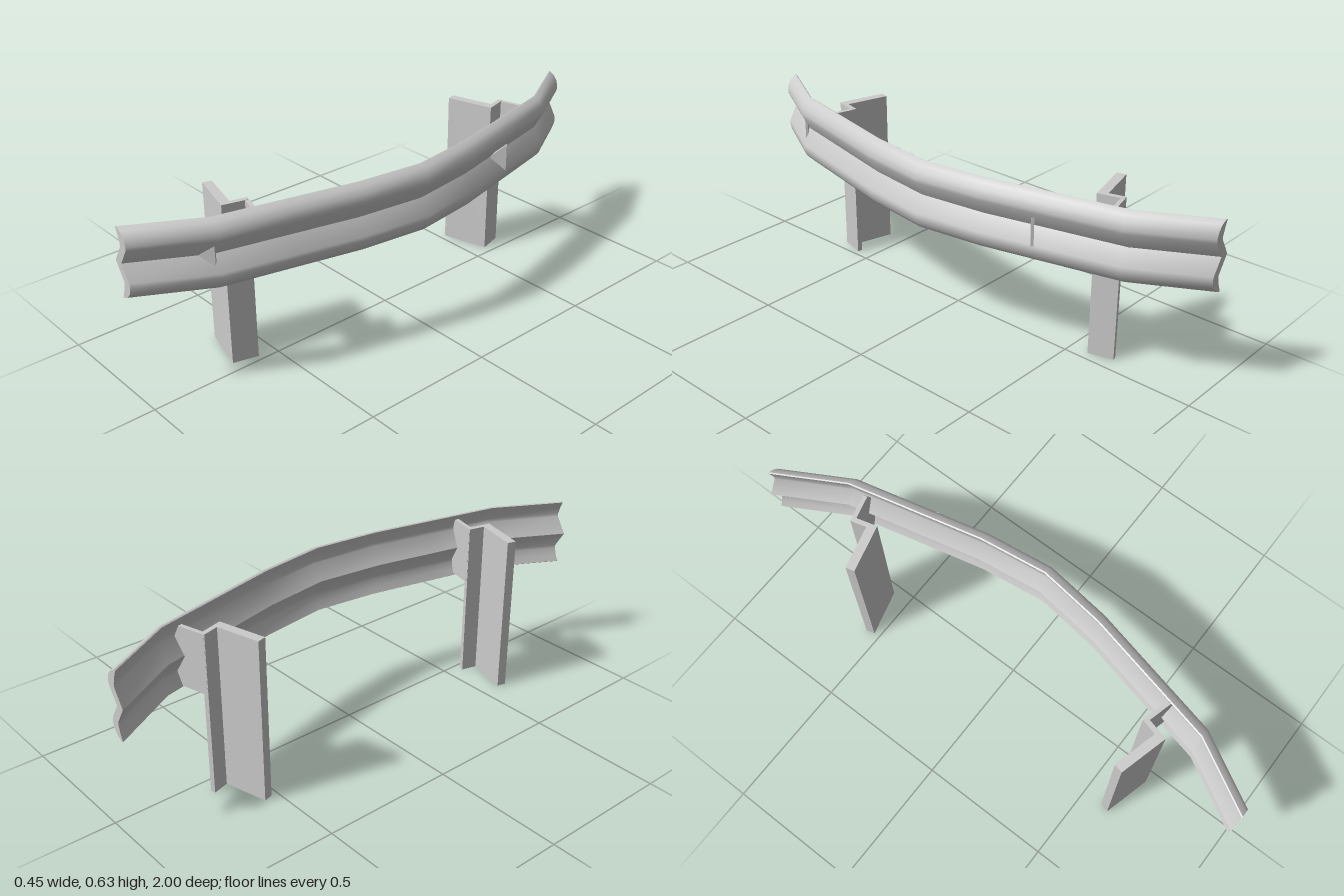
import * as THREE from 'three';
import { toCreasedNormals } from 'three/addons/utils/BufferGeometryUtils.js';

const grey = new THREE.MeshStandardMaterial({ color: 0xcccccc });
const RAIL_MID = 0.5;

// Sideways offset of the rail along its length (straight segments between bends)
const bends = [[0, 0], [0.25, -0.033], [0.75, -0.15], [1, -0.29]];
function railOffset(z) {
  const a = Math.min(Math.abs(z), 1);
  const i = Math.max(1, bends.findIndex(([s]) => s >= a - 1e-6));
  const [z0, x0] = bends[i - 1], [z1, x1] = bends[i];
  return x0 + (x1 - x0) * (a - z0) / (z1 - z0);
}

const shapeOf = (pts) => new THREE.Shape(pts.map(([x, y]) => new THREE.Vector2(x, y)));

function makeMesh(name, geometry) {
  const mesh = new THREE.Mesh(geometry, grey);
  mesh.name = name;
  return mesh;
}

// Corrugated beam: two-lobed section extruded along z, then bent
function makeRail() {
  const outerHalf = [[0.185, 0], [0.221, 0.058], [0.223, 0.072], [0.217, 0.097], [0.2, 0.117], [0.178, 0.128]];
  const innerHalf = [[0.152, 0], [0.19, 0.062], [0.19, 0.074], [0.183, 0.1], [0.173, 0.125]];
  const mirrored = (half) => [
    ...half.slice(1).reverse().map(([x, y]) => [x, RAIL_MID - y]),
    ...half.map(([x, y]) => [x, RAIL_MID + y]),
  ];
  const section = shapeOf([...mirrored(outerHalf), ...mirrored(innerHalf).reverse()]);
  const geometry = new THREE.ExtrudeGeometry(section, { depth: 2, steps: 8, bevelEnabled: false });
  geometry.translate(0, 0, -1);
  const pos = geometry.attributes.position;
  for (let i = 0; i < pos.count; i++) pos.setX(i, pos.getX(i) + railOffset(pos.getZ(i)));
  return makeMesh('rail', toCreasedNormals(geometry, 0.6));
}

// Angle post with a bracket plate cut to fit the back of the rail
function makePost(name, x, z, angle) {
  const group = new THREE.Group();
  group.name = name;

  const section = shapeOf([[0, 0], [0.185, 0], [0.185, 0.095], [0.167, 0.095], [0.167, 0.034], [0, 0.034]]);
  const column = new THREE.ExtrudeGeometry(section, { depth: 0.608, bevelEnabled: false });
  column.rotateX(-Math.PI / 2);

  const plate = shapeOf([
    [0.17, 0.385], [0.275, 0.385], [0.295, 0.435], [0.257, 0.5], [0.295, 0.565], [0.275, 0.607], [0.17, 0.607],
  ]);
  const bracket = new THREE.ExtrudeGeometry(plate, { depth: 0.015, bevelEnabled: false });
  bracket.translate(0, 0, -0.0955);

  group.add(makeMesh('column', column), makeMesh('bracket', bracket));
  group.position.set(x, 0, z);
  group.rotation.y = angle;
  return group;
}

// Triangular plate standing in the groove of the rail, leaning backwards
function makeReflector(name, apexZ) {
  const apexX = 0.182 + railOffset(apexZ);
  const triangle = shapeOf([[0, 0], [0.063, -0.052], [0.063, 0.052]]);
  const geometry = new THREE.ExtrudeGeometry(triangle, { depth: 0.01, bevelEnabled: false });
  geometry.translate(0, 0, -0.01);
  const mesh = makeMesh(name, geometry);
  mesh.position.set(apexX, RAIL_MID, apexZ);
  mesh.rotation.y = Math.PI * 0.22;
  return mesh;
}

export function createModel() {
  const model = new THREE.Group();
  model.name = 'guardRail';
  const tilt = Math.PI / 12;
  model.add(
    makeRail(),
    makePost('frontPost', -0.225, 0.612, -tilt),
    makePost('backPost', -0.212, -0.524, tilt),
    makeReflector('frontReflector', 0.8),
    makeReflector('backReflector', -0.418),
  );
  return model;
}
